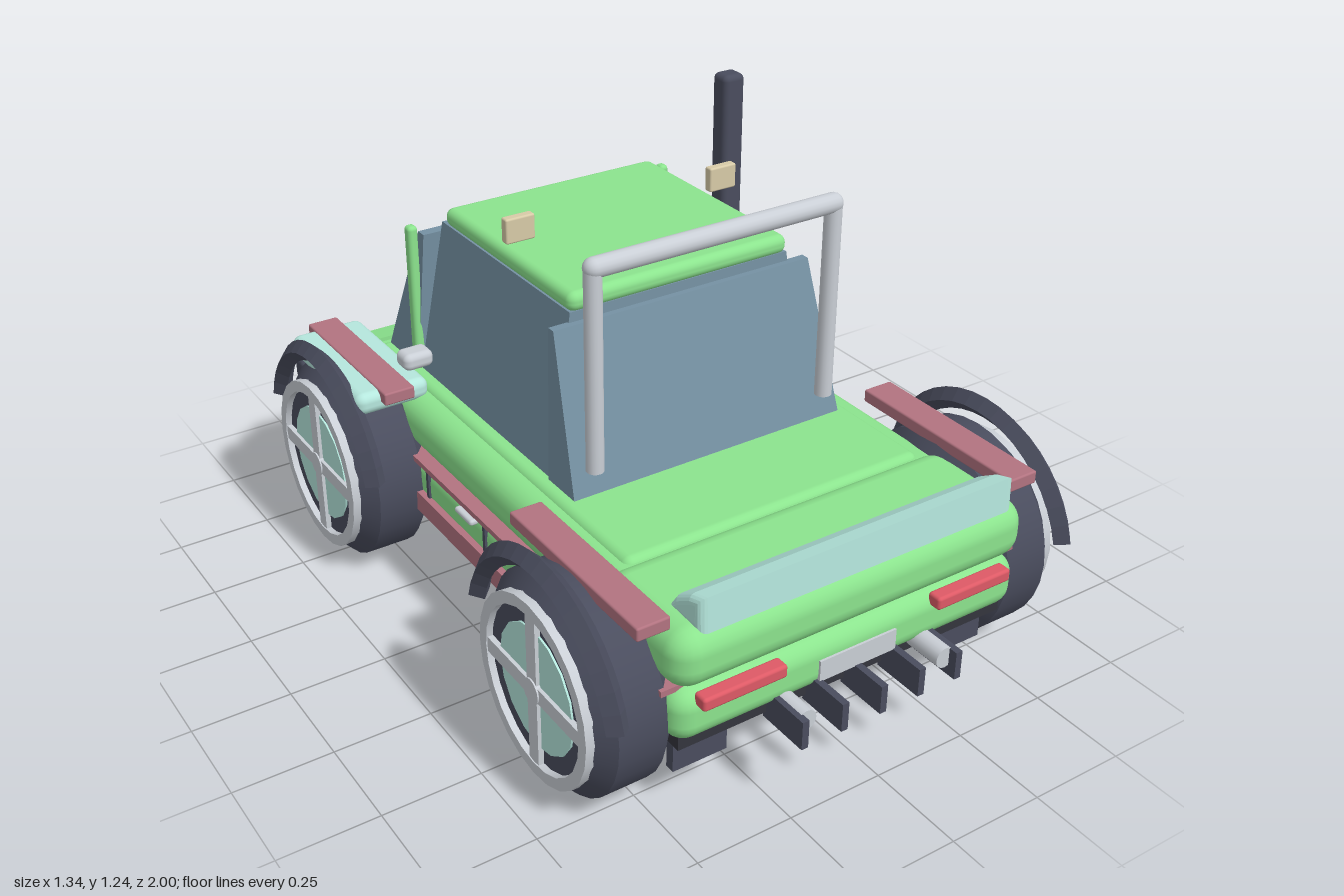
import * as THREE from 'three';
import { RoundedBoxGeometry } from 'three/addons/geometries/RoundedBoxGeometry.js';

const mat = (name, color) => {
  const m = new THREE.MeshStandardMaterial({ color });
  m.name = name;
  return m;
};

export function createModel() {
  const car = new THREE.Group();
  car.name = 'offroadCar';
  const green = mat('bodyGreen', 0x8ce48e);
  const teal = mat('paleTeal', 0xb6e8de);
  const glass = mat('glassBlue', 0x7591a3);
  const dark = mat('rubberDark', 0x4a4d5e);
  const black = mat('underbodyBlack', 0x34353d);
  const mauve = mat('trimMauve', 0xb27380);
  const silver = mat('silver', 0xcacfd6);
  const cream = mat('lampCream', 0xd8cba8);
  const red = mat('lampRed', 0xde5a66);

  const add = (name, geometry, material, x = 0, y = 0, z = 0, parent = car) => {
    const m = new THREE.Mesh(geometry, material);
    m.name = name;
    m.position.set(x, y, z);
    parent.add(m);
    return m;
  };
  // Box given by its limits on each axis, with optional rounded edges
  const box = (name, material, [x0, x1], [y0, y1], [z0, z1], r = 0) => {
    const s = [x1 - x0, y1 - y0, z1 - z0];
    const g = r ? new RoundedBoxGeometry(...s, 3, r) : new THREE.BoxGeometry(...s);
    return add(name, g, material, (x0 + x1) / 2, (y0 + y1) / 2, (z0 + z1) / 2);
  };
  // The same box on both sides of the car
  const pair = (name, material, [x0, x1], y, z, r = 0) => {
    box(name + 'Left', material, [x0, x1], y, z, r);
    box(name + 'Right', material, [-x1, -x0], y, z, r);
  };
  // Block with a different footprint at its foot and its head
  const taper = (name, material, y, foot, head) => {
    const g = new THREE.BoxGeometry(1, 1, 1);
    const p = g.attributes.position;
    for (let i = 0; i < p.count; i++) {
      const [w, z0, z1] = p.getY(i) > 0 ? head : foot;
      p.setXYZ(i, Math.sign(p.getX(i)) * w, p.getY(i) > 0 ? y[1] : y[0], p.getZ(i) > 0 ? z1 : z0);
    }
    g.computeVertexNormals();
    return add(name, g, material);
  };
  // Side profile of [z, y] points swept across the car, edges rounded outward by r
  const sweep = (name, material, points, halfWidth, r) => {
    const depth = 2 * (halfWidth - r);
    const g = new THREE.ExtrudeGeometry(new THREE.Shape(points.map(([z, y]) => new THREE.Vector2(z, y))), {
      depth, bevelEnabled: true, bevelSize: r, bevelThickness: r, bevelSegments: 4,
    });
    return add(name, g.translate(0, 0, -depth / 2).rotateY(-Math.PI / 2), material);
  };

  // Body shell
  box('lowerBody', green, [-0.49, 0.49], [0.225, 0.362], [-0.845, 0.9], 0.05);
  box('sideBody', green, [-0.49, 0.49], [0.365, 0.505], [-0.72, 0.7], 0.06);
  box('deck', green, [-0.425, 0.425], [0.42, 0.517], [-0.645, 0.605], 0.025);
  box('rearBody', green, [-0.495, 0.495], [0.365, 0.515], [0.58, 0.91], 0.06);
  sweep('hoodNose', green, [[-0.825, 0.395], [-0.69, 0.395], [-0.69, 0.482], [-0.74, 0.47], [-0.825, 0.415]], 0.495, 0.03);
  pair('waistTrim', mauve, [0.44, 0.503], [0.353, 0.368], [-0.8, 0.86]);
  box('underbody', black, [-0.465, 0.465], [0.2, 0.24], [-0.84, 0.87]);
  box('skidPlate', silver, [-0.31, 0.31], [0.183, 0.202], [-0.83, -0.57]);
  pair('sill', mauve, [0.44, 0.507], [0.212, 0.268], [-0.3, 0.36]);
  for (const z of [0.245, 0.075, -0.225]) pair('doorSeam', dark, [0.47, 0.496], [0.268, 0.353], [z - 0.006, z + 0.006]);
  pair('doorHandle', silver, [0.47, 0.508], [0.322, 0.338], [-0.055, 0.03], 0.007);

  // Cabin
  taper('cabin', glass, [0.505, 0.925], [0.385, -0.45, 0.21], [0.31, -0.43, 0.195]);
  taper('windscreen', glass, [0.505, 0.9], [0.39, -0.63, -0.455], [0.365, -0.46, -0.43]);
  taper('rearWindow', glass, [0.505, 0.9], [0.39, 0.215, 0.335], [0.365, 0.19, 0.212]);
  box('roof', green, [-0.312, 0.312], [0.92, 0.97], [-0.415, 0.2], 0.022);
  pair('windscreenPost', green, [0.37, 0.398], [0.51, 0.92], [-0.478, -0.446], 0.011);
  pair('mirror', silver, [0.378, 0.462], [0.55, 0.597], [-0.445, -0.38], 0.018);
  pair('roofLamp', cream, [0.254, 0.333], [1.006, 1.07], [-0.075, -0.05], 0.005);
  box('snorkel', dark, [0.401, 0.466], [0.575, 1.24], [-0.257, -0.197], 0.016);

  // Roll bar
  for (const x of [-0.334, 0.334]) {
    add('rollBarPost', new THREE.CylinderGeometry(0.022, 0.022, 0.515, 16), silver, x, 0.8425, 0.335);
  }
  add('rollBarTop', new THREE.CapsuleGeometry(0.025, 0.664, 6, 16), silver, 0, 1.098, 0.335).rotation.z = Math.PI / 2;

  // Rear end
  sweep('rearSpoiler', teal, [[0.81, 0.533], [0.885, 0.533], [0.885, 0.578], [0.865, 0.57], [0.82, 0.542]], 0.438, 0.02);
  pair('tailLamp', red, [0.215, 0.437], [0.325, 0.359], [0.885, 0.924], 0.008);
  box('rearPlate', silver, [-0.11, 0.108], [0.255, 0.31], [0.895, 0.906]);
  for (let i = -2; i <= 2; i++) {
    const x = i * 0.11;
    box('diffuserFin', dark, [x - 0.009, x + 0.009], [0.183, 0.257], [0.86, 0.998]);
  }
  for (const x of [-0.2, 0.2]) {
    add('exhaustTip', new THREE.CylinderGeometry(0.027, 0.027, 0.15, 16), silver, x, 0.235, 0.9).rotation.x = Math.PI / 2;
  }
  pair('mudFlap', dark, [0.305, 0.45], [0.105, 0.21], [0.805, 0.83]);

  // Front end
  box('bumper', dark, [-0.54, 0.54], [0.3, 0.375], [-0.967, -0.905], 0.018);
  pair('headlamp', cream, [0.23, 0.425], [0.26, 0.335], [-0.88, -0.83], 0.01);
  box('grille', dark, [-0.137, 0.137], [0.265, 0.335], [-0.888, -0.83], 0.01);
  sweep('frontGuard', silver, [[-0.855, 0.202], [-0.862, 0.212], [-0.935, 0.247], [-0.935, 0.222]], 0.47, 0.003);
  box('frontLip', dark, [-0.455, 0.455], [0.184, 0.2], [-1, -0.83]);

  // Wheels and arches, built for the left side and turned for the right
  const ring = (pts, n) => new THREE.LatheGeometry(pts.map(([r, h]) => new THREE.Vector2(r, h)), n).rotateZ(-Math.PI / 2);
  const tyreGeo = ring([[0, 0.45], [0.225, 0.45], [0.225, 0.45], [0.268, 0.49], [0.268, 0.49],
    [0.268, 0.612], [0.268, 0.612], [0.225, 0.653], [0.225, 0.653], [0, 0.653]], 32);
  const rimGeo = ring([[0.23, 0.64], [0.23, 0.67], [0.23, 0.67], [0.2, 0.67], [0.2, 0.67], [0.2, 0.64]], 24);
  const discGeo = new THREE.CylinderGeometry(0.157, 0.157, 0.03, 16).rotateZ(-Math.PI / 2);
  const hubGeo = new THREE.CylinderGeometry(0.032, 0.032, 0.03, 16).rotateZ(-Math.PI / 2);
  const archGeo = new THREE.TorusGeometry(0.304, 0.028, 4, 18, Math.PI - 0.5)
    .rotateZ(0.25).rotateY(Math.PI / 2).toNonIndexed();
  archGeo.computeVertexNormals();
  for (const z of [0.6, -0.535]) {
    for (const side of [1, -1]) {
      const wheel = new THREE.Group();
      wheel.name = (z > 0 ? 'rear' : 'front') + 'Wheel' + (side > 0 ? 'Left' : 'Right');
      wheel.position.set(0, 0.271, z);
      wheel.rotation.y = side > 0 ? 0 : Math.PI;
      car.add(wheel);
      add('tyre', tyreGeo, dark, 0, 0, 0, wheel);
      add('rim', rimGeo, silver, 0, 0, 0, wheel);
      add('wheelDisc', discGeo, teal, 0.643, 0, 0, wheel);
      add('spokeUpright', new THREE.BoxGeometry(0.02, 0.41, 0.04), silver, 0.657, 0, 0, wheel);
      add('spokeLevel', new THREE.BoxGeometry(0.02, 0.04, 0.41), silver, 0.657, 0, 0, wheel);
      add('hub', hubGeo, silver, 0.656, 0, 0, wheel);
      add('arch', archGeo, dark, 0.633, 0, 0, wheel);
    }
  }

  // Fender tops
  pair('rearFenderBar', mauve, [0.476, 0.56], [0.516, 0.55], [0.33, 0.855], 0.005);
  pair('frontFenderBar', mauve, [0.476, 0.56], [0.52, 0.554], [-0.78, -0.305], 0.005);
  pair('frontFender', teal, [0.42, 0.625], [0.49, 0.55], [-0.755, -0.33], 0.025);
  return car;
}
